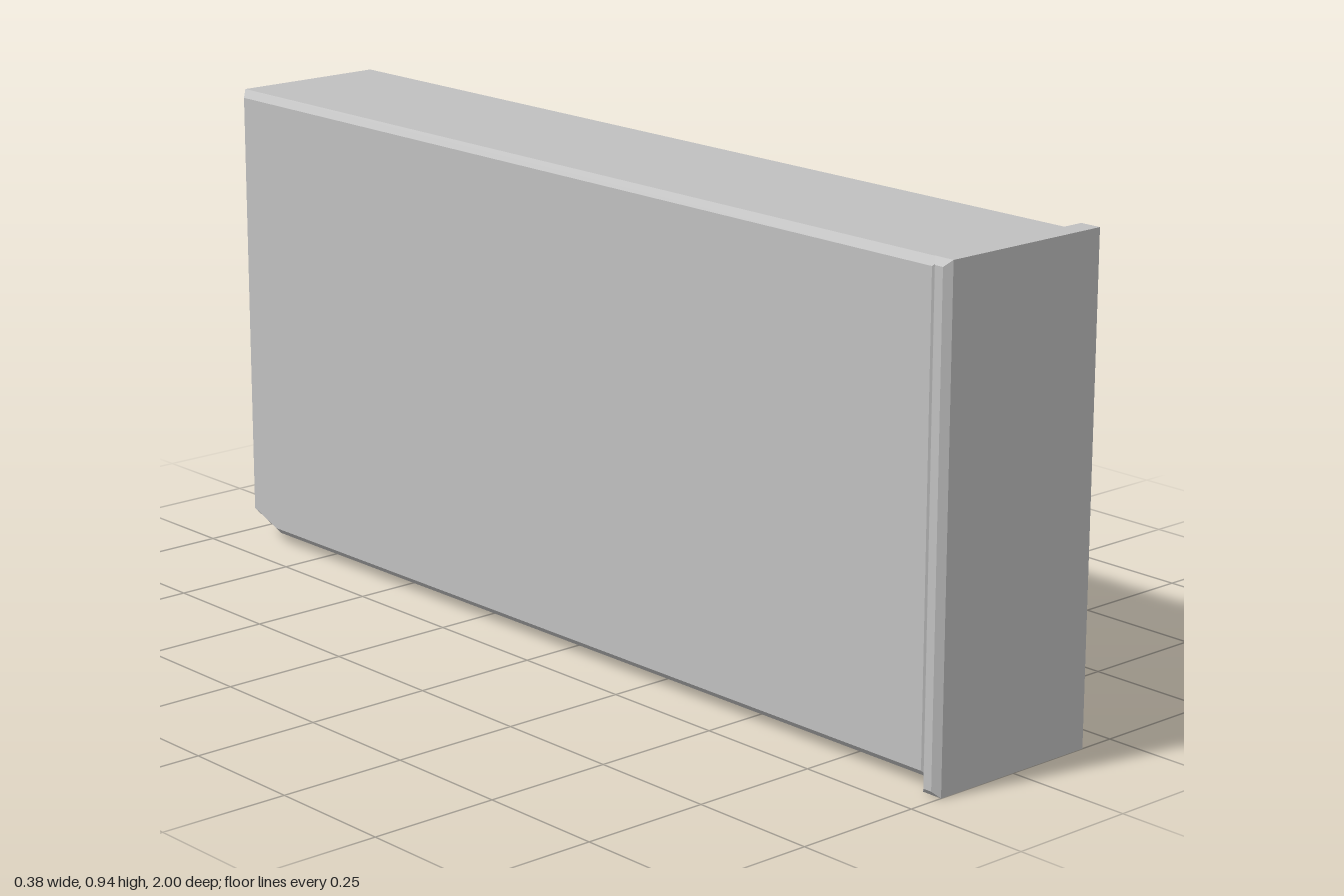
import * as THREE from 'three';

// Slab extruded across x from a side outline of [z, y] points,
// with chamfered left and right edges that stay inside the outline.
function chamferedSlab(name, outline, halfWidth, chamfer, material) {
  const shape = new THREE.Shape(outline.map(([z, y]) => new THREE.Vector2(z, y)));
  const depth = 2 * (halfWidth - chamfer);
  const geometry = new THREE.ExtrudeGeometry(shape, {
    depth,
    bevelEnabled: true,
    bevelSegments: 1,
    bevelSize: chamfer,
    bevelThickness: chamfer,
    bevelOffset: -chamfer,
  });
  geometry.translate(0, 0, -depth / 2);
  geometry.rotateY(-Math.PI / 2);
  const mesh = new THREE.Mesh(geometry, material);
  mesh.name = name;
  return mesh;
}

const rectangle = (z0, z1, y0, y1) => [[z0, y0], [z1, y0], [z1, y1], [z0, y1]];

export function createModel() {
  const group = new THREE.Group();
  group.name = 'slimCase';
  const grey = new THREE.MeshStandardMaterial({ color: 0xc0c0c0 });
  grey.name = 'light grey';

  // Main body, with the lower rear corner cut off
  const bodyOutline = [
    [-0.888, 0.019], [0.96, 0.019], [0.96, 0.93], [-0.972, 0.93], [-0.972, 0.05],
  ];
  group.add(chamferedSlab('body', bodyOutline, 0.172, 0.014, grey));

  // Front panel, slightly larger than the body
  group.add(chamferedSlab('frontPanel', rectangle(0.958, 1, 0, 0.937), 0.19, 0.012, grey));

  // Raised plate on the back
  group.add(chamferedSlab('rearPlate', rectangle(-1, -0.96, 0.122, 0.875), 0.115, 0.005, grey));

  return group;
}
